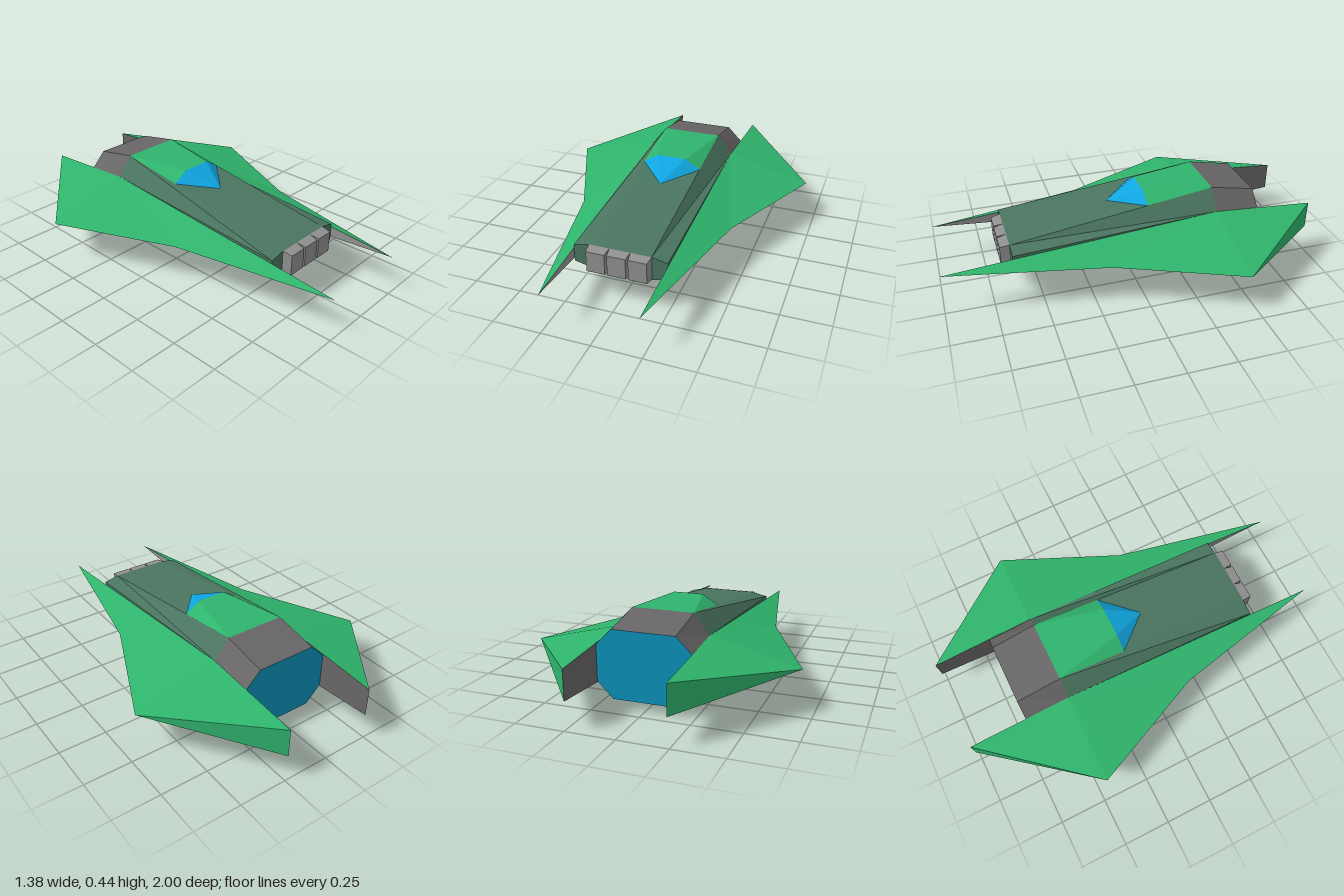
import * as THREE from 'three';

const MID = 0.218; // height of the wing plane

const paint = (name, color) => {
  const m = new THREE.MeshStandardMaterial({ color });
  m.name = name;
  return m;
};

// Flat faces from corner loops, each turned to face away from an inner point
function facets(name, material, polygons, inside) {
  const pos = [];
  const c = new THREE.Vector3(...inside);
  for (const poly of polygons) {
    const v = poly.map((p) => new THREE.Vector3(...p));
    const normal = new THREE.Vector3().crossVectors(v[1].clone().sub(v[0]), v[2].clone().sub(v[0]));
    if (normal.dot(v[0].clone().sub(c)) < 0) v.reverse();
    for (let i = 1; i < v.length - 1; i++) {
      for (const p of [v[0], v[i], v[i + 1]]) pos.push(p.x, p.y, p.z);
    }
  }
  const g = new THREE.BufferGeometry();
  g.setAttribute('position', new THREE.Float32BufferAttribute(pos, 3));
  g.computeVertexNormals();
  const mesh = new THREE.Mesh(g, material);
  mesh.name = name;
  return mesh;
}

// Eight-sided hull section: flat top and bottom, chamfers, upright sides
const section = (z, top, side) => [
  [0.16, top], [0.24, side], [0.24, -side], [0.16, -top],
  [-0.16, -top], [-0.24, -side], [-0.24, side], [-0.16, top],
].map(([x, y]) => [x, MID + y, z]);

// Triangles joining two sections
function loft(a, b) {
  const out = [];
  a.forEach((p, i) => {
    const j = (i + 1) % a.length;
    out.push([p, a[j], b[j], b[i]]);
  });
  return out;
}

export function createModel() {
  const green = paint('wing green', 0x2fb46c);
  const hullGreen = paint('hull grey green', 0x4a7560);
  const darkGrey = paint('engine grey', 0x676565);
  const lightGrey = paint('nose grey', 0x909090);
  const canopyBlue = paint('canopy blue', 0x0fa5e0);
  const engineBlue = paint('engine blue', 0x0c91ba);

  const model = new THREE.Group();
  model.name = 'spacecraft';

  // Hull tapering to a shallow nose
  const nose = section(0.64, 0.064, 0.046);
  const shoulder = section(-0.45, 0.218, 0.115);
  const tail = section(-0.69, 0.172, 0.092);
  model.add(facets('hull', hullGreen, [...loft(shoulder, nose), nose], [0, MID, 0]));

  // Engine housing and exhaust
  model.add(facets('engineHousing', darkGrey, loft(tail, shoulder), [0, MID, -0.55]));
  model.add(facets('engineExhaust', engineBlue, [tail], [0, MID, -0.5]));

  // Canopy: green roof with a blue windscreen
  const roofY = MID + 0.218;
  const baseY = 0.385;
  const tip = [0, 0.361, 0.09];
  const [tl, tr] = [[-0.08, roofY, -0.09], [0.08, roofY, -0.09]];
  const [bl, br] = [[-0.16, baseY, -0.09], [0.16, baseY, -0.09]];
  const [rl, rr] = [[-0.16, roofY, -0.45], [0.16, roofY, -0.45]];
  const core = [0, 0.2, -0.3];
  model.add(facets('canopyRoof', green, [[rl, tl, tr, rr], [rl, bl, tl], [rr, tr, br]], core));
  model.add(facets('windscreen', canopyBlue, [[tl, tip, tr], [bl, tip, tl], [br, tr, tip]], core));

  // Three tapered blocks on the nose
  for (const cx of [-0.107, 0, 0.107]) {
    const rect = (w, h, z) => [[w, h], [w, -h], [-w, -h], [-w, h]].map(([x, y]) => [cx + x, MID + y, z]);
    const back = rect(0.0533, 0.064, 0.64);
    const front = rect(0.047, 0.055, 0.69);
    model.add(facets('noseBlock', lightGrey, [...loft(back, front), front], [cx, MID, 0.65]));
  }

  // Wings, mirrored left and right
  for (const s of [1, -1]) {
    const at = (x, y, z) => [s * x, MID + y, z];
    const wing = new THREE.Group();
    wing.name = s > 0 ? 'leftWing' : 'rightWing';
    const point = at(0.24, 0, 1);
    const knee = at(0.415, 0, 0.17);
    const outer = at(0.69, 0, -0.45);
    const skin = [];
    for (const u of [1, -1]) {
      const ridge = at(0.24, u * 0.115, -0.45);
      const end = at(0.24, u * 0.075, -1);
      skin.push([point, knee, ridge], [knee, outer, ridge], [ridge, outer, end]);
    }
    skin.push([at(0.24, 0.075, -1), at(0.24, -0.075, -1), outer]);
    const inside = at(0.3, 0, -0.2);
    wing.add(facets('wingSkin', green, skin, inside));
    // Inner walls ahead of and behind the hull
    wing.add(facets('frontInnerWall', lightGrey,
      [[point, at(0.24, 0.0286, 0.64), at(0.24, -0.0286, 0.64)]], inside));
    wing.add(facets('rearInnerWall', darkGrey, [[
      at(0.24, 0.115, -0.45), at(0.24, 0.075, -1), at(0.24, -0.075, -1), at(0.24, -0.115, -0.45),
      at(0.24, -0.092, -0.69), at(0.24, 0.092, -0.69),
    ]], inside));
    model.add(wing);
  }
  return model;
}
